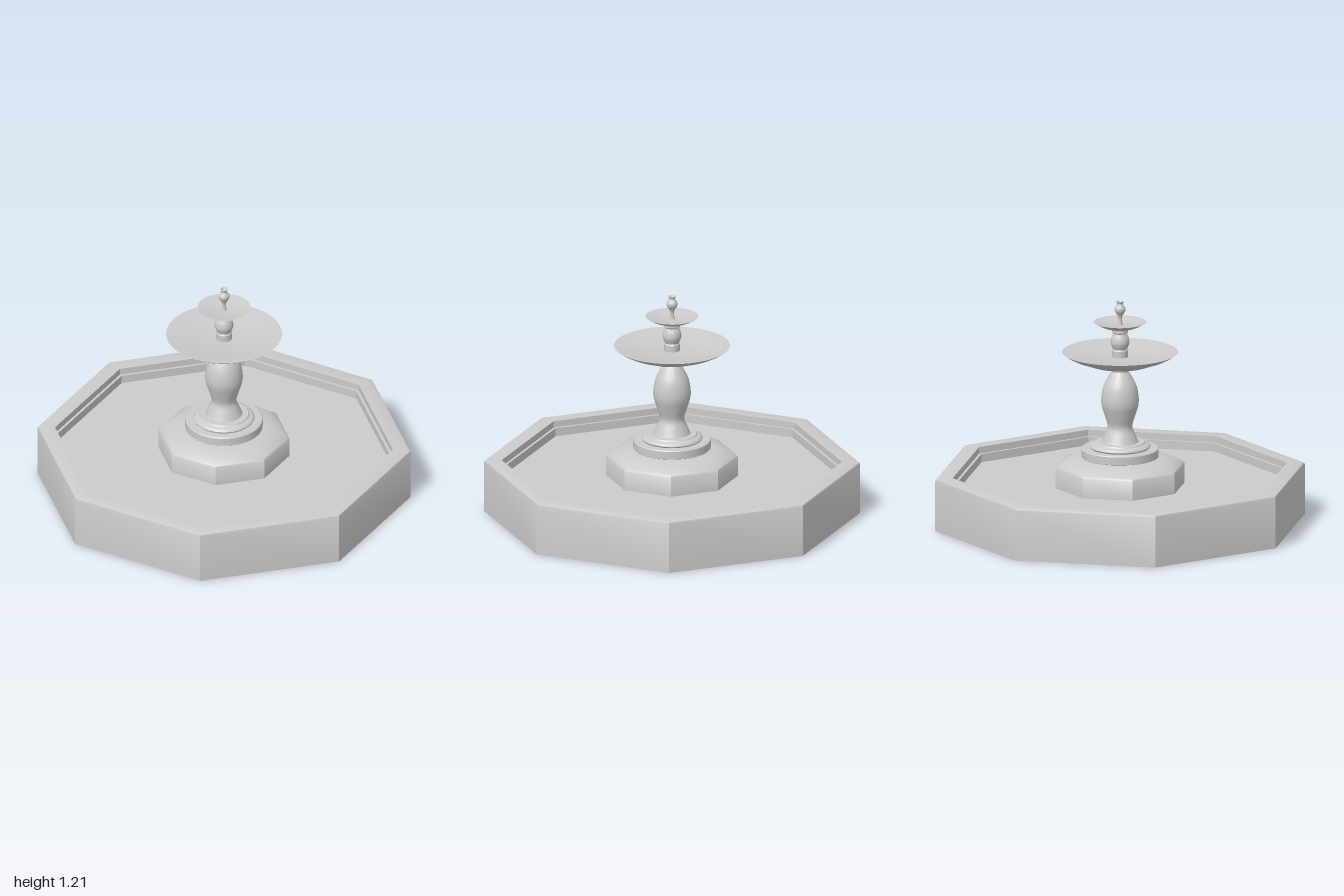
import * as THREE from 'three';
import { toCreasedNormals } from 'three/addons/utils/BufferGeometryUtils.js';

const material = new THREE.MeshStandardMaterial({ color: 0xcccccc });

// Revolve a profile of [radius, y] points, listed from the bottom up the outside
function turned(name, points, sides = 48) {
  const profile = points.map(([r, y]) => new THREE.Vector2(r, y));
  const geometry = toCreasedNormals(new THREE.LatheGeometry(profile, sides), 0.6);
  const mesh = new THREE.Mesh(geometry, material);
  mesh.name = name;
  return mesh;
}

// Round off a few control points into a smooth profile
function smooth(points, count = 24) {
  const curve = new THREE.SplineCurve(points.map(([r, y]) => new THREE.Vector2(r, y)));
  return curve.getPoints(count).map((p) => [p.x, p.y]);
}

export function createModel() {
  const fountain = new THREE.Group();
  fountain.name = 'fountain';

  // Octagonal pool with a softened rim, an inner ledge and a flat floor
  fountain.add(turned('basin', [
    [0, 0], [1, 0], [1, 0.272], [0.996, 0.282], [0.985, 0.286],
    [0.905, 0.286], [0.905, 0.25], [0.89, 0.25], [0.89, 0.205], [0, 0.205],
  ], 8));

  // Octagonal plinth with a rounded shoulder
  fountain.add(turned('plinth', [
    [0.35, 0.2], [0.35, 0.312],
    ...smooth([[0.347, 0.317], [0.32, 0.335], [0.28, 0.352], [0.235, 0.363]], 8),
    [0.2, 0.365], [0, 0.365],
  ], 8));

  // Round step and moulding below the column
  fountain.add(turned('pedestalStep', [
    [0.2, 0.36], [0.206, 0.366], [0.206, 0.407], [0.202, 0.412], [0, 0.412],
  ]));
  fountain.add(turned('pedestalMoulding', [
    ...smooth([[0.155, 0.41], [0.163, 0.42], [0.155, 0.431], [0.135, 0.438]], 10),
    [0.13, 0.445], [0, 0.445],
  ]));

  // Main baluster and its collar
  fountain.add(turned('baluster', smooth([
    [0.1, 0.44], [0.083, 0.48], [0.066, 0.53], [0.082, 0.59], [0.1, 0.66],
    [0.091, 0.74], [0.064, 0.8], [0.042, 0.835],
  ], 36)));
  fountain.add(turned('collar', [
    [0.03, 0.828], [0.046, 0.83], [0.046, 0.845], [0.03, 0.85],
  ]));

  // Large bowl, open and shallow
  fountain.add(turned('lowerBowl', [
    [0, 0.842], [0.06, 0.842], [0.16, 0.868], [0.25, 0.902], [0.285, 0.92],
    [0.308, 0.936], [0.3, 0.936], [0.22, 0.915], [0, 0.908],
  ], 64));

  // Upper baluster with a foot and a cap
  fountain.add(turned('upperBaluster', [
    [0.042, 0.9], [0.042, 0.945],
    ...smooth([[0.037, 0.952], [0.047, 0.975], [0.05, 0.992], [0.046, 1.015], [0.036, 1.038]], 16),
    [0.043, 1.044], [0.043, 1.065],
  ]));

  // Small bowl
  fountain.add(turned('upperBowl', [
    [0, 1.058], [0.045, 1.06], [0.085, 1.072], [0.115, 1.085], [0.141, 1.1],
    [0.135, 1.1], [0.1, 1.088], [0, 1.084],
  ]));

  // Finial with a flared spout
  fountain.add(turned('finial', [
    ...smooth([
      [0.016, 1.08], [0.011, 1.11], [0.014, 1.135], [0.027, 1.157], [0.029, 1.175],
      [0.016, 1.198], [0.022, 1.212],
    ], 28),
    [0.015, 1.213], [0.01, 1.203], [0, 1.203],
  ], 32));

  return fountain;
}
